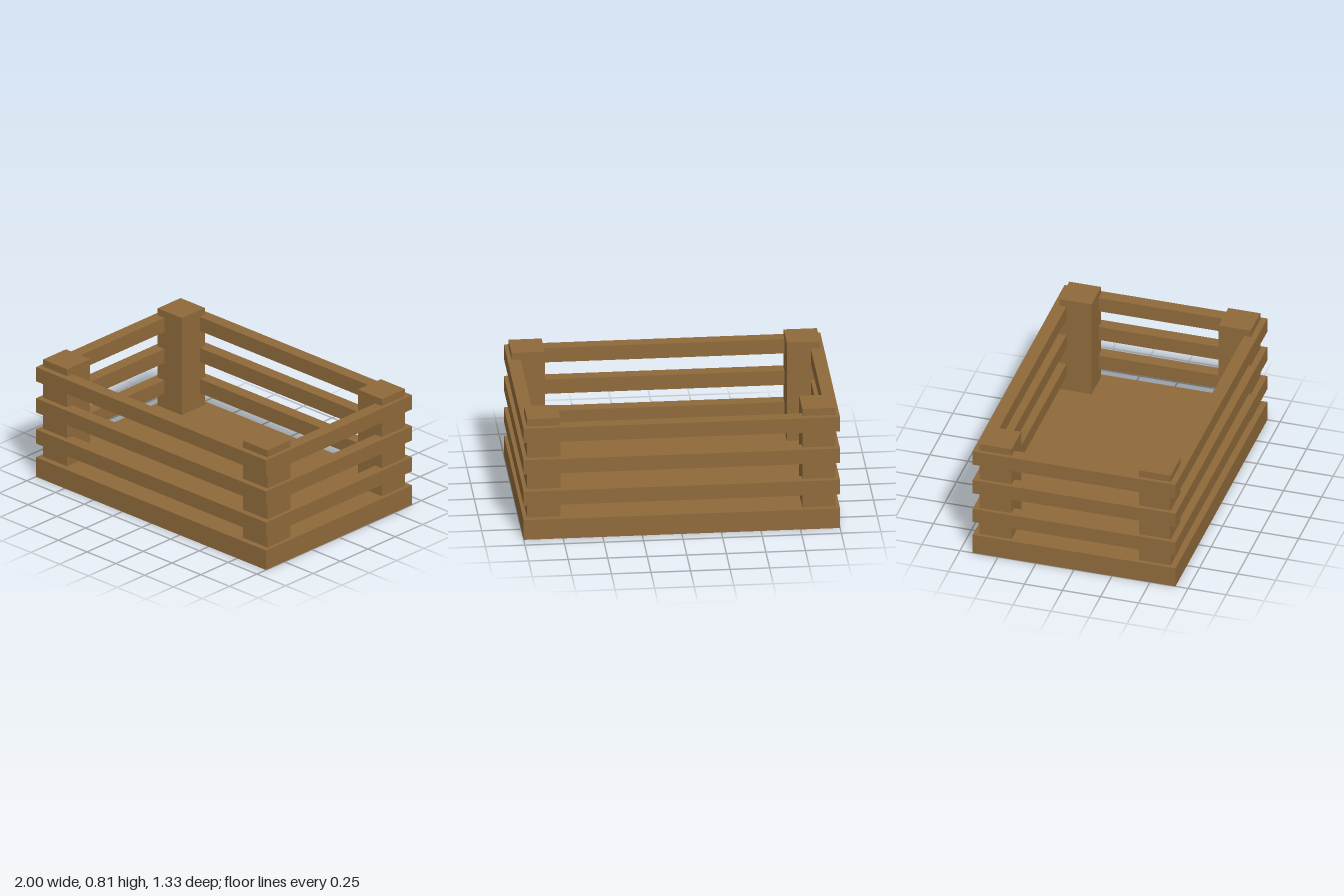
import * as THREE from 'three';

export function createModel() {
  const crate = new THREE.Group();
  crate.name = 'crate';
  const wood = new THREE.MeshStandardMaterial({ color: 0x8f6a3b });
  wood.name = 'wood';

  const halfX = 1, halfZ = 0.667, thick = 0.083;

  // Box resting on height y
  function addBox(name, w, h, d, x, y, z) {
    const mesh = new THREE.Mesh(new THREE.BoxGeometry(w, h, d), wood);
    mesh.name = name;
    mesh.position.set(x, y + h / 2, z);
    crate.add(mesh);
  }

  // Solid floor
  addBox('base', 2 * halfX, 0.135, 2 * halfZ, 0, 0, 0);

  // Corner posts
  for (const sx of [-1, 1]) {
    for (const sz of [-1, 1]) {
      addBox('cornerPost', 0.21, 0.675, 0.21, sx * 0.87, 0.135, sz * 0.523);
    }
  }

  // Three rings of slats; the end slats fit between the long ones
  for (const y of [0.232, 0.448, 0.664]) {
    for (const s of [-1, 1]) {
      addBox('longSlat', 2 * halfX, 0.098, thick, 0, y, s * (halfZ - thick / 2));
      addBox('endSlat', thick, 0.098, 2 * (halfZ - thick), s * (halfX - thick / 2), y, 0);
    }
  }
  return crate;
}
